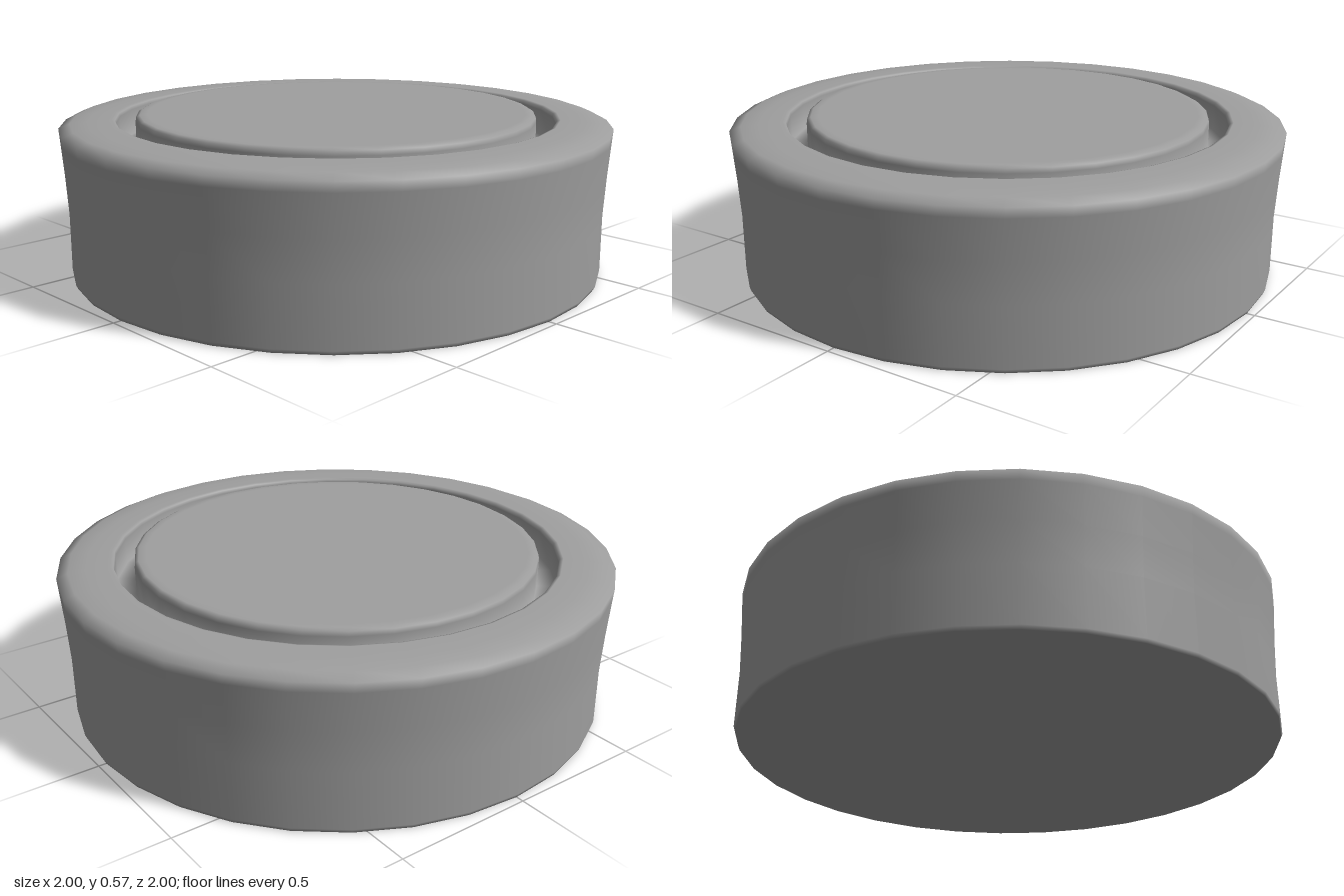
import * as THREE from 'three';

const SIDES = 32;

export function createModel() {
  const model = new THREE.Group();
  model.name = 'roundPuck';
  const material = new THREE.MeshStandardMaterial({ color: 0x9f9f9f });

  // Turns a profile of [radius, height] points, listed from bottom to top
  const turned = (name, points) => {
    const profile = points.map(([r, y]) => new THREE.Vector2(r, y));
    const mesh = new THREE.Mesh(new THREE.LatheGeometry(profile, SIDES), material);
    mesh.name = name;
    model.add(mesh);
  };

  // One smooth skin, from the base over the rim and groove to the centre disc
  turned('body', [
    // flat base with a tight edge
    [0, 0], [0.972, 0], [0.978, 0.014],
    // wall, flaring gently outwards
    [0.978, 0.22], [0.986, 0.36], [0.997, 0.5],
    // chamfered rim
    [1, 0.535], [0.96, 0.552], [0.9, 0.557], [0.815, 0.561],
    // groove, its floor shaded from wall to wall
    [0.803, 0.557], [0.80, 0.545], [0.80, 0.45], [0.73, 0.45], [0.73, 0.55],
    // raised centre disc
    [0.728, 0.567], [0.715, 0.574], [0.69, 0.575], [0, 0.575],
  ]);

  return model;
}
